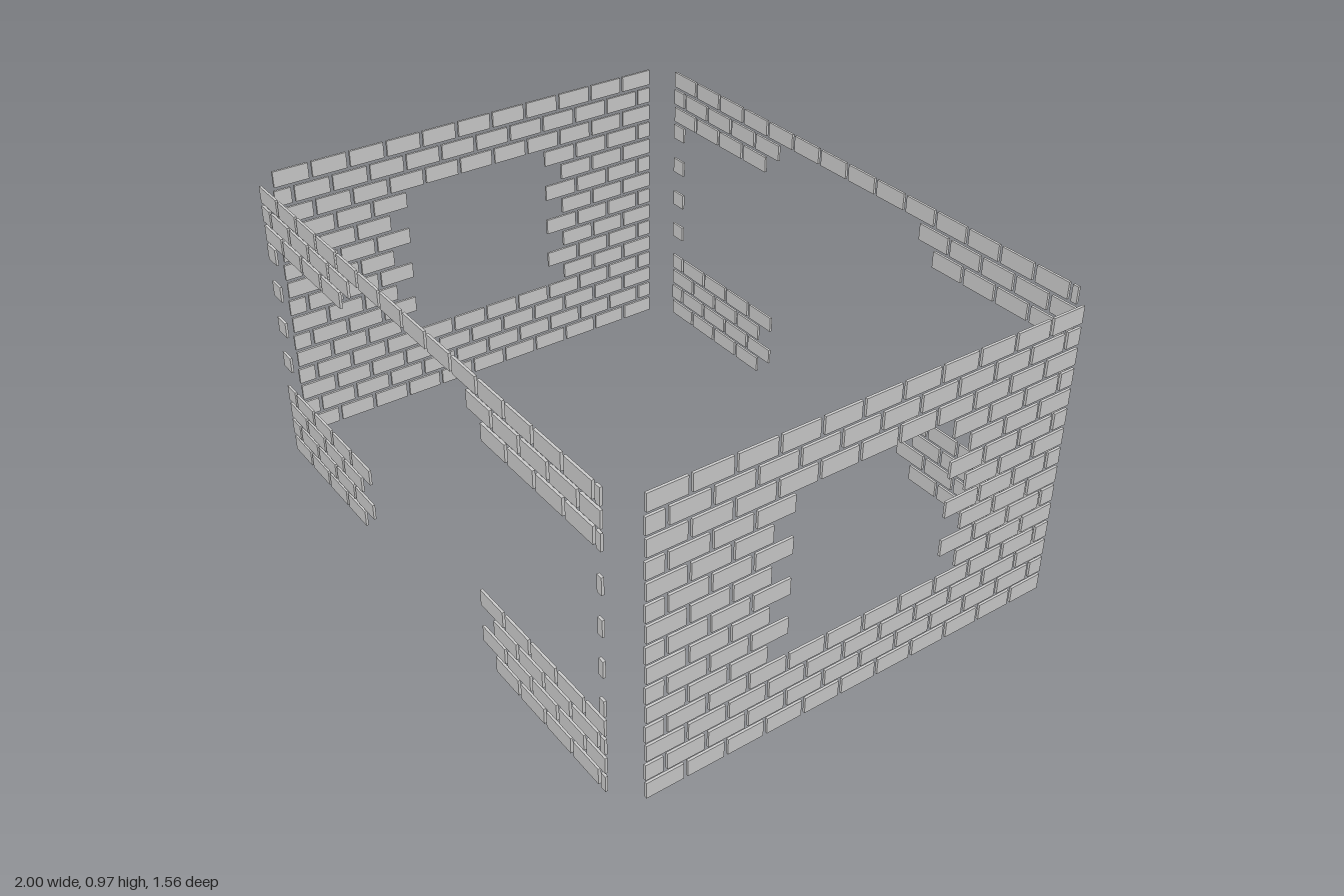
import * as THREE from 'three';

const ROWS = 15, PITCH_X = 0.1305, PITCH_Y = 0.0655;
const LENGTH = 0.118, HEIGHT = 0.0535, THICK = 0.008;
const material = new THREE.MeshStandardMaterial({ color: 0xcccccc, flatShading: true });

// Spans [start, end] of one course: running bond, odd courses open with a half brick.
function courseSpans(row, start, end) {
  const odd = row % 2 === 1;
  const spans = odd ? [[start, start + 0.056]] : [];
  for (let a = start + (odd ? 0.068 : 0.003); a < end - 0.01; a += PITCH_X) {
    spans.push([a, Math.min(a + LENGTH, end)]);
  }
  return spans;
}

// A wall along local x; openings(row) gives the [from, to] gap left in a course, or null.
function makeWall(name, start, end, opening) {
  const wall = new THREE.Group();
  wall.name = name;
  for (let row = 0; row < ROWS; row++) {
    const gap = opening(row);
    for (const [a, b] of courseSpans(row, start, end)) {
      const middle = (a + b) / 2;
      if (gap && middle > gap[0] && middle < gap[1]) continue;
      const brick = new THREE.Mesh(new THREE.BoxGeometry(b - a, HEIGHT, THICK), material);
      brick.name = 'brick';
      brick.position.set(middle, row * PITCH_Y + HEIGHT / 2, 0);
      wall.add(brick);
    }
  }
  return wall;
}

// Long walls: a wide gap between the corner columns, narrowed at base and top, under a full course.
function doorway(row) {
  if (row === ROWS - 1) return null;
  if (row >= 4 && row <= 11) return row % 2 ? [-0.87, 1] : [-1, 0.9];
  return row % 2 ? [-0.34, 0.31] : [-0.4, 0.37];
}

// Side walls: a central window with toothed edges.
function windowGap(row) {
  if (row < 4 || row > 11) return null;
  return row % 2 ? [-0.26, 0.27] : [-0.32, 0.33];
}

export function createModel() {
  const model = new THREE.Group();
  model.name = 'brickWalls';

  for (const [name, z] of [['frontWall', 0.777], ['backWall', -0.777]]) {
    const wall = makeWall(name, -0.928, 0.922, doorway);
    wall.position.z = z;
    model.add(wall);
  }
  // Local +x of the side walls runs towards -z.
  for (const [name, x] of [['leftWall', 0.996], ['rightWall', -0.996]]) {
    const wall = makeWall(name, -0.711, 0.711, windowGap);
    wall.rotation.y = Math.PI / 2;
    wall.position.x = x;
    model.add(wall);
  }
  return model;
}
